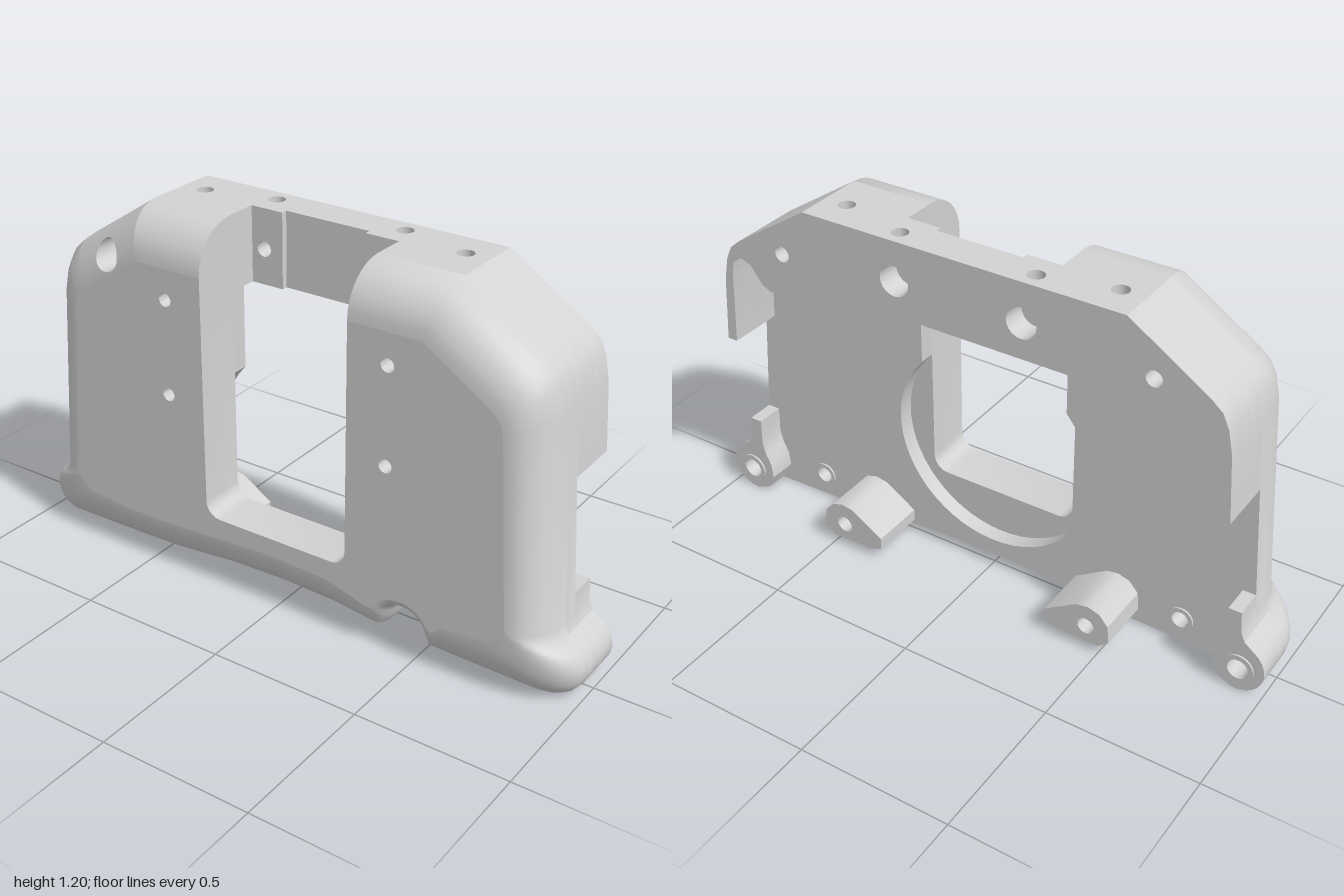
import * as THREE from 'three';
import { toCreasedNormals } from 'three/addons/utils/BufferGeometryUtils.js';

const grey = new THREE.MeshStandardMaterial({ color: 0xd2d2d2, side: THREE.DoubleSide });
grey.name = 'light grey plastic';

const mirror = (pts) => pts.map(([x, y]) => [-x, y]).reverse();
const arc = (cx, cy, r, from, to, n) => Array.from({ length: n + 1 }, (_, i) => {
  const a = THREE.MathUtils.degToRad(from + (to - from) * i / n);
  return [cx + r * Math.cos(a), cy + r * Math.sin(a)];
});

// Plate from an outline with round holes [x, y, radius], between two depths
function slab(pts, z0, z1, holes = []) {
  const shape = new THREE.Shape(pts.map(([x, y]) => new THREE.Vector2(x, y)));
  for (const [x, y, r] of holes) {
    const h = new THREE.Path();
    h.absarc(x, y, r, 0, Math.PI * 2, true);
    shape.holes.push(h);
  }
  const g = new THREE.ExtrudeGeometry(shape, { depth: z1 - z0, bevelEnabled: false, curveSegments: 10 });
  return toCreasedNormals(g.translate(0, 0, z0), 0.5);
}

// Surface through rows of points
function skin(rows, skip = -1) {
  const pos = [];
  for (let i = 0; i < rows.length - 1; i++) {
    if (i === skip) continue;
    for (let j = 0; j < rows[i].length - 1; j++) {
      const a = rows[i][j], b = rows[i + 1][j], c = rows[i + 1][j + 1], d = rows[i][j + 1];
      pos.push(...a, ...b, ...c, ...a, ...c, ...d);
    }
  }
  const g = new THREE.BufferGeometry();
  g.setAttribute('position', new THREE.Float32BufferAttribute(pos, 3));
  return toCreasedNormals(g, 0.6);
}

// Rim of one side: outer x, y and the matching inner x, y on the front face
const foot = arc(0.912, 0.09, 0.088, 60, -95, 10);
const side = [
  [0.26, 1.2, 0.26, 1.05], [0.54, 1.2, 0.5, 1.05], [0.8, 1.03, 0.7, 0.92], [0.835, 1, 0.73, 0.9],
  [0.855, 0.955, 0.75, 0.875], [0.87, 0.88, 0.76, 0.84], [0.915, 0.22, 0.8, 0.24], [0.928, 0.188, 0.805, 0.23],
  ...foot.map(([x, y], i) => [x, y, 0.805 - 0.006 * i, 0.222 - 0.0045 * i]),
  [0.6, 0.01, 0.6, 0.165],
];
// Arched notch in the left half of the bottom edge
const archOut = arc(0.455, 0.085, 0.063, 0, 180, 10), archIn = arc(0.455, 0.095, 0.105, 25, 155, 10);
const bottom = [
  [0.53, 0.025, 0.565, 0.137],
  ...archOut.map((p, i) => [...p, ...archIn[i]]),
  [0.35, 0.03, 0.34, 0.14], [0.2, 0.04, 0.2, 0.18], [0, 0.045, 0, 0.19],
  [-0.2, 0.04, -0.2, 0.18], [-0.45, 0.015, -0.45, 0.165],
];
const rim = [...side, ...bottom, ...side.map(([a, b, c, d]) => [-a, b, -c, d]).reverse()];
const outer = rim.map(([x, y]) => [x, y]);
const inner = rim.map(([, , x, y]) => [x, y]);

const STEPS = 8;
const levels = Array.from({ length: STEPS + 1 }, (_, k) => {
  const a = k / STEPS * Math.PI / 2;
  return [Math.cos(a), 0.05 + 0.15 * Math.sin(a)];
});
const rimPoint = ([ox, oy, ix, iy], u, z) => [ix + (ox - ix) * u, iy + (oy - iy) * u, z];

// Sloping corner panel with a counterbored hole
function holePanel(p, q, cx, cy, r) {
  const lineDist = (x, y, ax, ay, bx, by) =>
    Math.abs((bx - ax) * (y - ay) - (by - ay) * (x - ax)) / Math.hypot(bx - ax, by - ay);
  const height = (x, y) => {
    const o = lineDist(x, y, p[0], p[1], q[0], q[1]), i = lineDist(x, y, p[2], p[3], q[2], q[3]);
    const u = Math.min(1, i / (o + i));
    return 0.05 + 0.15 * Math.sqrt(1 - u * u);
  };
  const mix = (u) => Array.from({ length: 9 }, (_, i) => {
    const a = rimPoint(p, u, 0), b = rimPoint(q, u, 0), t = i / 8;
    return [a[0] + (b[0] - a[0]) * t, a[1] + (b[1] - a[1]) * t];
  });
  const loop = [...mix(1), ...levels.map(([u]) => rimPoint(q, u, 0)),
    ...mix(0).reverse(), ...levels.map(([u]) => rimPoint(p, u, 0)).reverse()];
  const rows = loop.map(([x, y]) => {
    const d = Math.hypot(x - cx, y - cy);
    const hx = cx + (x - cx) * r / d, hy = cy + (y - cy) * r / d;
    const row = [[hx, hy, 0.04]];
    for (let k = 0; k <= 6; k++) {
      const px = hx + (x - hx) * k / 6, py = hy + (y - hy) * k / 6;
      row.push([px, py, height(px, py)]);
    }
    return row;
  });
  return skin(rows);
}

export function createModel() {
  const group = new THREE.Group();
  const add = (name, geometry) => {
    const m = new THREE.Mesh(geometry, grey);
    m.name = name;
    group.add(m);
  };
  const both = (fn) => [1, -1].forEach(fn);
  const flip = (pts, s) => (s > 0 ? pts : mirror(pts));
  const BACK = -0.014;

  // Back layer of the plate with the round recess
  add('backPlate', slab([...outer, ...arc(0, 0.45, 0.35, 138, 402, 40)], BACK, 0.04,
    [[-0.63, 1.035, 0.03], [0.68, 0.09, 0.028], [-0.68, 0.09, 0.028]]));

  // Recess floor and front layer with the window slot and four screw holes
  const window = [...arc(-0.21, 0.3, 0.05, 180, 270, 5), ...arc(0.21, 0.3, 0.05, 270, 360, 5)];
  const screws = [];
  both((s) => [0.95, 0.635].forEach((y) => screws.push([s * 0.394, y, 0.022])));
  add('recessFloor', slab([...outer, ...window], 0.04, 0.05, [[-0.63, 1.035, 0.05]]));
  add('frontPlate', slab([...inner, ...window], 0.05, 0.2, screws));

  // Rounded outer edge, leaving out the panel with the hole
  const last = rim.length - 3;
  const rows = rim.map((p) => levels.map(([u, z]) => rimPoint(p, u, z)));
  add('roundedEdge', skin(rows, last));
  add('cornerPanel', holePanel(rim[last], rim[last + 1], -0.63, 1.035, 0.05));

  // Slot walls beside the rounded top edge
  both((s) => {
    const profile = rows[s > 0 ? 0 : rows.length - 1];
    add('slotWall', skin([profile, profile.map(() => [s * 0.26, 1.05, 0.05])]));
  });

  // Hood: rear bar with side walls, lower than the drilled top
  const hoodOut = [[0.54, 1.12], [0.54, 1.2], [0.8, 1.03], [0.835, 1], [0.855, 0.955], [0.87, 0.88], [0.885, 0.66]];
  const hoodIn = [[0.85, 0.66], [0.838, 0.9], [0.83, 0.95], [0.8, 0.975], [0.76, 0.96], [0.72, 0.905],
    [0.69, 0.888], [0.65, 0.895], [0.6, 0.935], [0.55, 0.955]];
  const half = [...hoodOut, ...hoodIn];
  const full = [...half, ...mirror(half)];
  const pins = [[0.63, 1.035, 0.026], [-0.63, 1.035, 0.026]];
  const bolts = (r) => [[0.215, 1.07, r], [-0.215, 1.07, r]];
  add('hoodBack', slab(full, -0.2, -0.12, [...pins, ...bolts(0.05)]));
  add('hoodMiddle', slab(full, -0.12, -0.08, [...pins, ...bolts(0.025)]));
  both((s) => {
    add('hoodSide', slab(flip([[0.26, 1.12], ...half, [0.26, 0.955]], s), -0.08, BACK,
      s < 0 ? [pins[1]] : []));
    add('barTab', slab(flip([[0.147, 0.955], [0.26, 0.955], [0.26, 1.12], [0.147, 1.12]], s),
      -0.08, -0.06, [[s * 0.215, 1.07, 0.025]]));
  });

  // Top of the hood with four vertical holes
  const top = [[0.147, 0.08], [0.147, 0.06], [0.26, 0.06], [0.26, -BACK], [0.54, -BACK], [0.54, 0.2]];
  const topHoles = [];
  both((s) => topHoles.push([s * 0.46, 0.09, 0.027], [s * 0.228, 0.145, 0.027]));
  const topGeo = slab([...top, ...mirror(top)], 0, 0.08, topHoles);
  add('hoodTop', topGeo.rotateX(-Math.PI / 2).translate(0, 1.12, 0));

  // Corner posts with fins, screw rings and lower blocks
  const post = [[0.868, 0.29], [0.91, 0.29], [0.915, 0.22], [0.928, 0.188], ...foot,
    [0.855, 0.025], [0.835, 0.07], [0.84, 0.12], [0.86, 0.16], [0.87, 0.2]];
  const block = [[0.31, 0.05], [0.31, 0.09], [0.42, 0.16], [0.46, 0.167], [0.5, 0.155], [0.53, 0.12],
    [0.535, 0.06], [0.5, 0.032], [0.36, 0.032]];
  both((s) => {
    const ring = (x, y, r, hole, z0, z1) =>
      add('screwRing', slab(arc(s * x, y, r, 0, 345, 23), z0, z1, [[s * x, y, hole]]));
    add('cornerPost', slab(flip(post, s), -0.108, BACK, [[s * 0.918, 0.083, 0.034]]));
    ring(0.918, 0.083, 0.05, 0.034, -0.114, -0.108);
    ring(0.68, 0.09, 0.042, 0.028, -0.02, BACK);
    add('lowerBlock', slab(flip(block, s), -0.2, BACK, [[s * 0.455, 0.09, 0.028]]));
  });
  return group;
}
